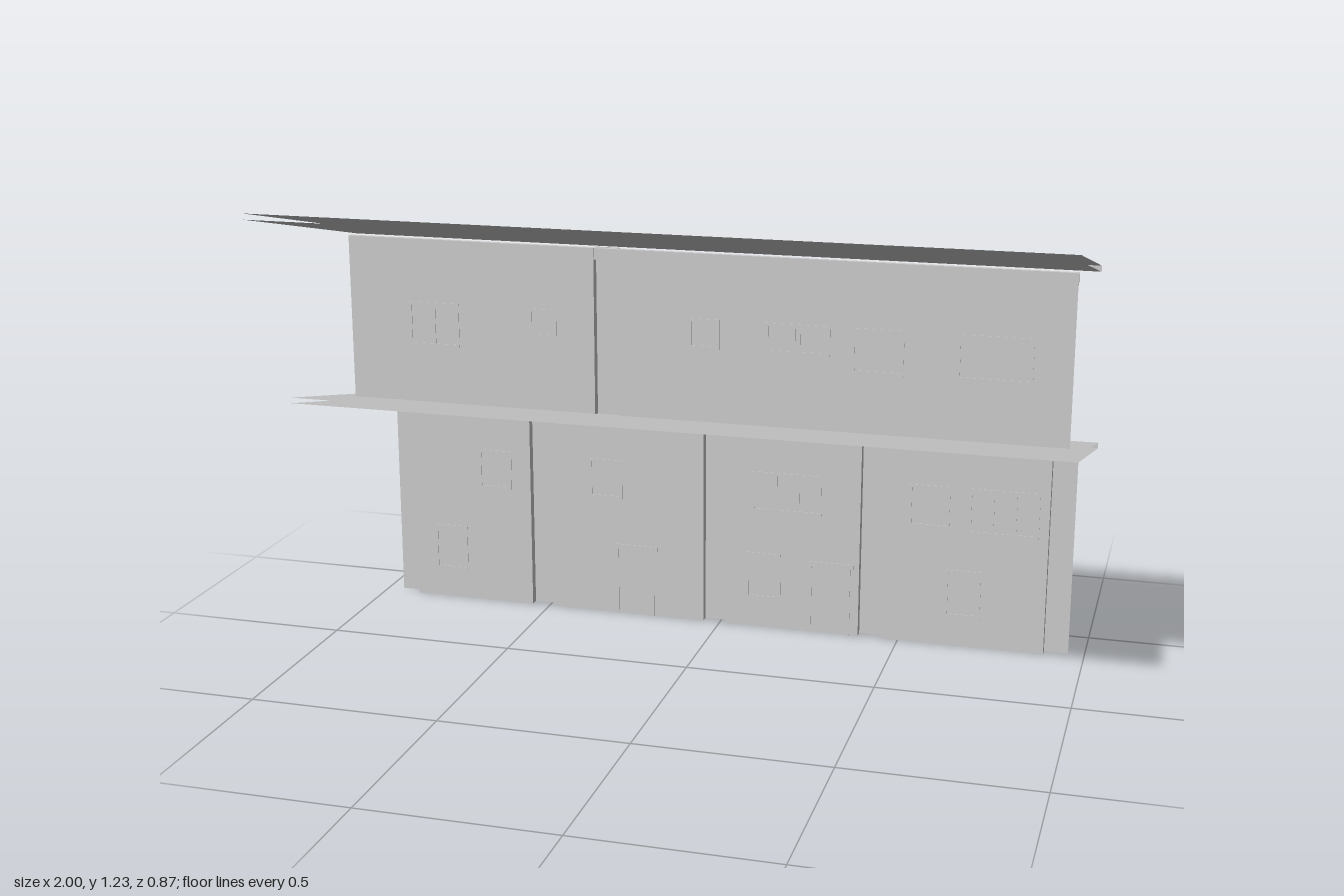
import * as THREE from 'three';

const grey = new THREE.MeshStandardMaterial({ color: 0xcccccc, flatShading: true, side: THREE.DoubleSide });

function addMesh(parent, name, geometry) {
  const mesh = new THREE.Mesh(geometry, grey);
  mesh.name = name;
  parent.add(mesh);
  return mesh;
}

// Thin sheet spanned by edge vectors u and v from a corner
function sheet(parent, name, corner, u, v) {
  const o = new THREE.Vector3(...corner), a = new THREE.Vector3(...u), b = new THREE.Vector3(...v);
  const p = [o, o.clone().add(a), o.clone().add(a).add(b), o.clone().add(b)];
  const g = new THREE.BufferGeometry().setFromPoints([p[0], p[1], p[2], p[0], p[2], p[3]]);
  g.computeVertexNormals();
  return addMesh(parent, name, g);
}

function box(parent, name, x0, x1, y0, y1, z0, z1) {
  const g = new THREE.BoxGeometry(x1 - x0, y1 - y0, z1 - z0);
  return addMesh(parent, name, g.translate((x0 + x1) / 2, (y0 + y1) / 2, (z0 + z1) / 2));
}

// Sheet wall whose bays are split by pilasters folded out to the rear
function wall(name, { x0, x1, y0, y1, z, depth, pilasters }) {
  const g = new THREE.Group();
  g.name = name;
  const h = [0, y1 - y0, 0];
  let x = x0;
  for (const [a, b] of pilasters) {
    if (a > x) sheet(g, 'wallBay', [x, y0, z], [a - x, 0, 0], h);
    sheet(g, 'pilasterFace', [a, y0, z - depth], [b - a, 0, 0], h);
    // outer ends of the wall stay open
    for (const s of [a, b]) {
      if (s > x0 && s < x1) sheet(g, 'pilasterSide', [s, y0, z - depth], [0, 0, depth], h);
    }
    x = b;
  }
  if (x < x1) sheet(g, 'wallBay', [x, y0, z], [x1 - x, 0, 0], h);
  // beam along the head of the wall
  box(g, 'headBeam', x0, x1, y1 - 0.03, y1, z - depth * 0.6, z - 0.001);
  return g;
}

// Shallow frame with mullions and an optional sill
function windowFrame(parent, [x0, x1, y0, y1, panes = 1], z, sill) {
  const g = new THREE.Group();
  g.name = 'window';
  const t = 0.008;
  const shape = new THREE.Shape([[x0, y0], [x1, y0], [x1, y1], [x0, y1]].map(p => new THREE.Vector2(...p)));
  const w = (x1 - x0 - t) / panes;
  for (let i = 0; i < panes; i++) {
    const a = x0 + i * w + t, b = x0 + (i + 1) * w;
    shape.holes.push(new THREE.Path([[a, y0 + t], [a, y1 - t], [b, y1 - t], [b, y0 + t]].map(p => new THREE.Vector2(...p))));
  }
  const frame = new THREE.ExtrudeGeometry(shape, { depth: 0.009, bevelEnabled: false });
  addMesh(g, 'windowFrame', frame.translate(0, 0, z - 0.007));
  if (sill) box(g, 'windowSill', x0 - 0.01, x1 + 0.01, y0 - 0.012, y0, z - 0.012, z);
  parent.add(g);
}

function door(parent, x0, x1, top, z) {
  const g = new THREE.Group();
  g.name = 'door';
  const t = 0.01;
  box(g, 'doorJamb', x0, x0 + t, 0, top, z - 0.008, z + 0.002);
  box(g, 'doorJamb', x1 - t, x1, 0, top, z - 0.008, z + 0.002);
  box(g, 'doorLintel', x0 - 0.008, x1 + 0.008, top - t, top + 0.004, z - 0.012, z + 0.002);
  parent.add(g);
}

// Two parallel sloping sheets joined along the low rear edge
function roof(name, x0, x1, zBack, zFront, yLow, yHigh) {
  const g = new THREE.Group();
  g.name = name;
  const gap = 0.015;
  const across = [x1 - x0, 0, 0], slope = [0, yHigh - yLow - gap, zFront - zBack];
  sheet(g, 'roofSoffit', [x0, yLow, zBack], slope, across).name = 'roofSoffit';
  sheet(g, 'roofTop', [x0, yLow + gap, zBack], slope, across);
  sheet(g, 'roofFascia', [x0, yLow, zBack], [0, gap, 0], across);
  return g;
}

export function createModel() {
  const model = new THREE.Group();
  model.name = 'house';

  // Ground storey
  const lowerZ = -0.343;
  const lower = wall('lowerWall', {
    x0: -0.957, x1: 0.957, y0: 0, y1: 0.57, z: lowerZ, depth: 0.024,
    pilasters: [[-0.957, -0.897], [-0.55, -0.487], [-0.047, 0.015], [0.39, 0.453], [0.893, 0.957]],
  });
  const lowerWindows = [
    [0.68, 0.867, 0.32, 0.447, 3], [0.52, 0.63, 0.33, 0.447], [0.09, 0.283, 0.335, 0.447, 3],
    [-0.376, -0.279, 0.335, 0.447], [-0.703, -0.606, 0.335, 0.447],
    [0.624, 0.72, 0.083, 0.215], [0.075, 0.172, 0.083, 0.215], [-0.842, -0.744, 0.083, 0.215],
  ];
  for (const w of lowerWindows) windowFrame(lower, w, lowerZ, true);
  door(lower, 0.249, 0.366, 0.2, lowerZ);
  door(lower, -0.302, -0.188, 0.2, lowerZ);

  // Upper storey, set back
  const upperZ = -0.072;
  const upper = wall('upperWall', {
    x0: -0.945, x1: 0.957, y0: 0.64, y1: 1.09, z: upperZ, depth: 0.023,
    pilasters: [[-0.267, -0.203]],
  });
  const upperWindows = [
    [0.672, 0.86, 0.807, 0.923], [0.408, 0.54, 0.807, 0.923], [0.27, 0.353, 0.845, 0.923],
    [0.186, 0.265, 0.845, 0.923], [-0.015, 0.068, 0.845, 0.923], [-0.446, -0.37, 0.848, 0.923],
    [-0.78, -0.64, 0.805, 0.923, 2],
  ];
  for (const w of upperWindows) windowFrame(upper, w, upperZ, false);

  // Single-pitch roofs rising to the front
  model.add(lower, upper,
    roof('lowerRoof', -1, 1, -0.44, 0.2, 0.555, 0.713),
    roof('upperRoof', -0.985, 1, -0.21, 0.43, 1.07, 1.228));
  return model;
}
